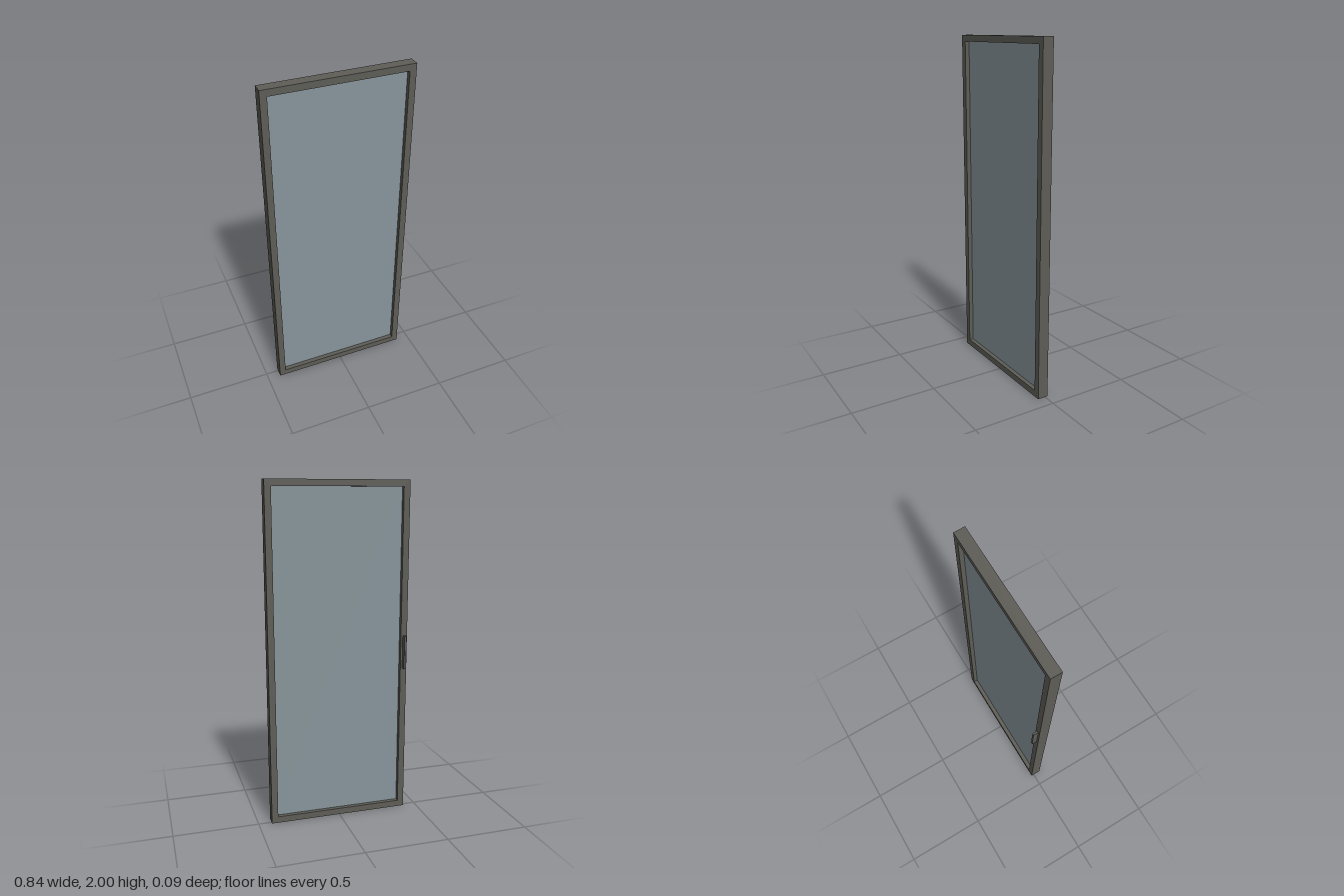
import * as THREE from 'three';

const W = 0.843, H = 2, BORDER = 0.038;
const FRONT = 0.0465, BACK = -0.017, HANDLE_BACK = -0.0465;

// Closed rectangle outline, centred on x = 0
function rectangle(Type, halfWidth, bottom, top) {
  return new Type([
    new THREE.Vector2(-halfWidth, bottom),
    new THREE.Vector2(halfWidth, bottom),
    new THREE.Vector2(halfWidth, top),
    new THREE.Vector2(-halfWidth, top),
  ]);
}

export function createModel() {
  const model = new THREE.Group();
  model.name = 'framedGlassDoor';
  const frameMaterial = new THREE.MeshStandardMaterial({ color: 0x5e5d57 });
  const glassMaterial = new THREE.MeshStandardMaterial({ color: 0x87959b });

  const add = (name, geometry, material, x, y, z) => {
    const mesh = new THREE.Mesh(geometry, material);
    mesh.name = name;
    mesh.position.set(x, y, z);
    model.add(mesh);
  };

  // Frame: one rectangular ring around the pane
  const outline = rectangle(THREE.Shape, W / 2, 0, H);
  outline.holes.push(rectangle(THREE.Path, W / 2 - BORDER, BORDER, H - BORDER));
  const frame = new THREE.ExtrudeGeometry(outline, { depth: FRONT - BACK, bevelEnabled: false });
  add('frame', frame, frameMaterial, 0, 0, BACK);

  // Glass pane, recessed equally from both faces
  const pane = new THREE.BoxGeometry(W - 2 * BORDER, H - 2 * BORDER, 0.012);
  add('glassPane', pane, glassMaterial, 0, H / 2, (FRONT + BACK) / 2);

  // Upright pull handle on the back of the right stile
  const handle = new THREE.BoxGeometry(0.012, 0.2, BACK - HANDLE_BACK);
  add('handle', handle, frameMaterial, -0.401, 1, (BACK + HANDLE_BACK) / 2);

  return model;
}
